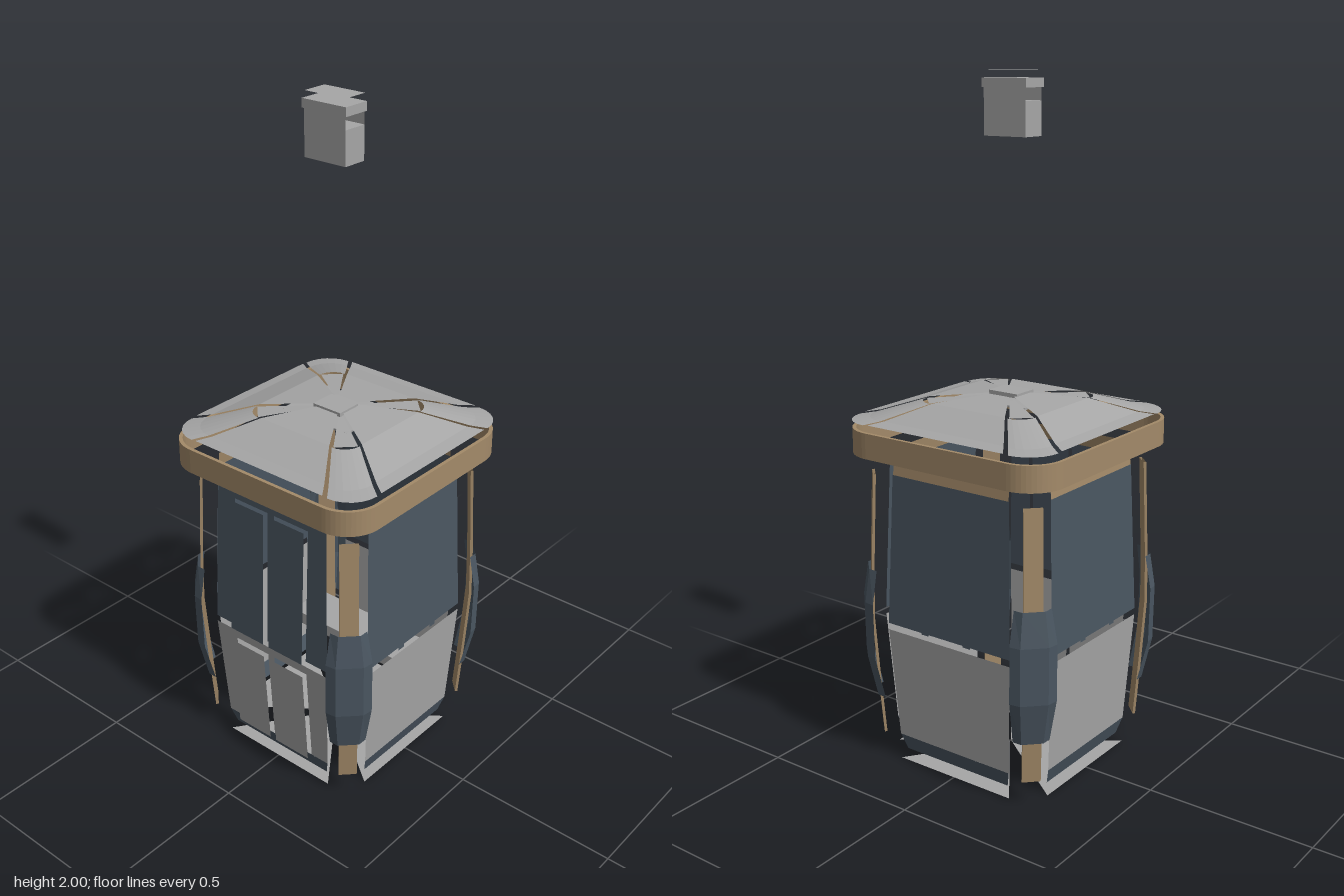
import * as THREE from 'three';

const mat = (name, color) => {
  const m = new THREE.MeshStandardMaterial({ color, side: THREE.DoubleSide, flatShading: true });
  m.name = name;
  return m;
};

export function createModel() {
  const grey = mat('shell grey', 0xa6a6a6);
  const navy = mat('dark slate', 0x4a5661);
  const tan = mat('tan trim', 0xa38a69);
  const model = new THREE.Group();
  model.name = 'cableCabin';

  const add = (parent, name, geometry, material) => {
    const mesh = new THREE.Mesh(geometry, material);
    mesh.name = name;
    parent.add(mesh);
    return mesh;
  };

  // Skin a sheet over rows of [x, y, z] points
  const loft = (rows) => {
    const pos = [], idx = [], n = rows[0].length;
    rows.forEach((row) => row.forEach((p) => pos.push(...p)));
    for (let r = 0; r < rows.length - 1; r++) {
      for (let i = 0; i < n - 1; i++) {
        const a = r * n + i, b = a + n;
        idx.push(a, a + 1, b, a + 1, b + 1, b);
      }
    }
    const g = new THREE.BufferGeometry();
    g.setAttribute('position', new THREE.Float32BufferAttribute(pos, 3));
    g.setIndex(idx);
    const flat = g.toNonIndexed();
    flat.computeVertexNormals();
    return flat;
  };

  // Wall sheet between two heights: [y, distance out, left x, right x]
  const sheet = (a, b) => loft([a, b].map(([y, d, l, r]) => [[l, y, d], [r, y, d]]));

  // Distance of the bulging wall from the centre at height y
  const wallAt = (y) => (y > 0.43 ? 0.302 - (y - 0.43) * 0.037 : 0.302 - (0.43 - y) * 0.063);
  const plate = (y0, y1, l, r, lift) =>
    sheet([y0, wallAt(y0) + lift, l, r], [y1, wallAt(y1) + lift, l, r]);

  // Roof rings: [half size, half width of straight panel, height]
  const roof = [[0.045, 0.035, 1.106], [0.19, 0.127, 1.092], [0.305, 0.208, 1.052], [0.345, 0.235, 1.045]];
  const roofGroup = new THREE.Group();
  roofGroup.name = 'roof';
  roofGroup.position.z = -0.008;
  model.add(roofGroup);

  for (let k = 0; k < 4; k++) {
    // One wall, repeated on the four sides
    const side = new THREE.Group();
    side.name = ['frontSide', 'leftSide', 'backSide', 'rightSide'][k];
    side.rotation.y = k * Math.PI / 2;
    model.add(side);
    add(side, 'header', sheet([0.89, 0.285, -0.203, 0.203], [0.935, 0.28, -0.203, 0.203]), tan);
    add(side, 'skirt', sheet([0.03, 0.265, -0.185, 0.185], [0.08, 0.28, -0.2, 0.2]), navy);
    add(side, 'floorPanel', loft([[[0, 0, 0.004], [0, 0, 0.004]], [[-0.2, 0, 0.278], [0.2, 0, 0.278]]]), grey);

    if (k === 0) {
      // Doorway: side strips, centre strips and lintels behind raised sliding leaves
      for (const s of [-1, 1]) {
        add(side, 'lowerStrip', sheet([0.08, wallAt(0.08), s * 0.138, s * 0.2], [0.42, wallAt(0.42), s * 0.138, s * 0.218]), grey);
        add(side, 'windowStrip', sheet([0.44, wallAt(0.44), s * 0.138, s * 0.218], [0.89, wallAt(0.89), s * 0.138, s * 0.205]), navy);
        add(side, 'doorWindow', plate(0.44, 0.875, s * 0.011, s * 0.14, 0.02), navy);
        add(side, 'doorPanel', plate(0.08, 0.395, s * 0.011, s * 0.14, 0.02), grey);
      }
      add(side, 'windowCentreStrip', plate(0.44, 0.875, -0.012, 0.012, 0), navy);
      add(side, 'lowerCentreStrip', plate(0.08, 0.395, -0.012, 0.012, 0), grey);
      add(side, 'windowLintel', plate(0.872, 0.89, -0.138, 0.138, 0), navy);
      add(side, 'lowerLintel', plate(0.392, 0.42, -0.138, 0.138, 0), grey);
    } else {
      add(side, 'lowerPanel', sheet([0.08, wallAt(0.08), -0.2, 0.2], [0.42, wallAt(0.42), -0.218, 0.218]), grey);
      add(side, 'windowPanel', sheet([0.44, wallAt(0.44), -0.218, 0.218], [0.89, wallAt(0.89), -0.205, 0.205]), navy);
      for (const s of [-1, 1]) {
        add(side, 'windowMullion', plate(0.44, 0.89, s * 0.062, s * 0.088, 0.008), navy);
      }
    }

    // Straight roof panel and rounded roof corner
    const slope = new THREE.Group();
    slope.name = 'roofQuarter';
    slope.rotation.y = k * Math.PI / 2;
    roofGroup.add(slope);
    add(slope, 'roofPanel', loft(roof.map(([h, w, y]) => [[-w, y, h], [w, y, h]])), grey);
    add(slope, 'roofCorner', loft(roof.slice(1).map(([h, w, y]) => {
      const c = w * 1.07, row = [];
      for (let i = 0; i <= 6; i++) {
        const t = i / 6 * Math.PI / 2;
        row.push([c + (h - c) * Math.sin(t), y - 0.002, c + (h - c) * Math.cos(t)]);
      }
      return row;
    })), grey);
    // Narrow web joining the corner to the hub
    add(slope, 'roofWeb', loft([
      [[0.045, 1.1, 0.055], [0.055, 1.1, 0.045]],
      [[0.14, 1.09, 0.188], [0.188, 1.09, 0.14]],
    ]), grey);

    // Corner post and its bumper shield
    const corner = new THREE.Group();
    corner.name = 'corner';
    corner.rotation.y = Math.PI / 4 + k * Math.PI / 2;
    model.add(corner);
    const post = [[0.075, 0.27], [0.25, 0.28], [0.45, 0.29], [0.6, 0.288], [0.885, 0.28]];
    add(corner, 'cornerPost', loft(post.map(([y, c]) => {
      const z = c * Math.SQRT2, w = 0.027, t = 0.004;
      return [[-w, y, z - t], [w, y, z - t], [w, y, z + t], [-w, y, z + t], [-w, y, z - t]];
    })), tan);
    const shield = [[0.2, 0.27, 0.052], [0.33, 0.29, 0.066], [0.5, 0.292, 0.066], [0.6, 0.282, 0.052]];
    add(corner, 'cornerShield', loft(shield.map(([y, c, w]) => {
      const z = c * Math.SQRT2;
      return [[-w, y, z], [-w * 0.6, y, z + 0.02], [w * 0.6, y, z + 0.02], [w, y, z]];
    })), navy);
  }

  // Rounded band under the roof
  const rounded = (path, h, c) => {
    const q = Math.PI / 2;
    [[1, 1], [-1, 1], [-1, -1], [1, -1]].forEach(([sx, sy], i) =>
      path.absarc(sx * c, sy * c, h - c, i * q, (i + 1) * q, false));
    path.closePath();
    return path;
  };
  const bandShape = rounded(new THREE.Shape(), 0.352, 0.245);
  bandShape.holes.push(rounded(new THREE.Path(), 0.341, 0.245));
  const bandGeo = new THREE.ExtrudeGeometry(bandShape, { depth: 0.075, bevelEnabled: false, curveSegments: 6 });
  bandGeo.rotateX(-Math.PI / 2);
  add(model, 'roofBand', bandGeo, tan).position.y = 0.945;

  const box = (name, w, h, d, x, y, z, material) =>
    add(model, name, new THREE.BoxGeometry(w, h, d), material).position.set(x, y, z);

  // Roof hub and bench
  box('roofHub', 0.24, 0.006, 0.195, 0, 1.092, 0.002, grey);
  box('roofHatch', 0.1, 0.012, 0.08, 0, 1.106, 0.005, grey);
  box('bench', 0.47, 0.04, 0.14, 0, 0.24, -0.13, grey);

  // Cable grip floating above the cabin
  box('gripBody', 0.14, 0.095, 0.075, 0, 1.8725, 0.0105, grey);
  box('gripRim', 0.148, 0.025, 0.083, 0, 1.9675, 0.0105, grey);
  for (const z of [-0.027, 0.048]) {
    add(model, 'gripFace', sheet([1.92, z, -0.07, 0.07], [1.956, z, -0.07, 0.07]), grey);
  }
  add(model, 'gripLid', loft([[[-0.068, 2, -0.031], [0.068, 2, -0.031]], [[-0.068, 2, 0.048], [0.068, 2, 0.048]]]), grey);

  return model;
}
